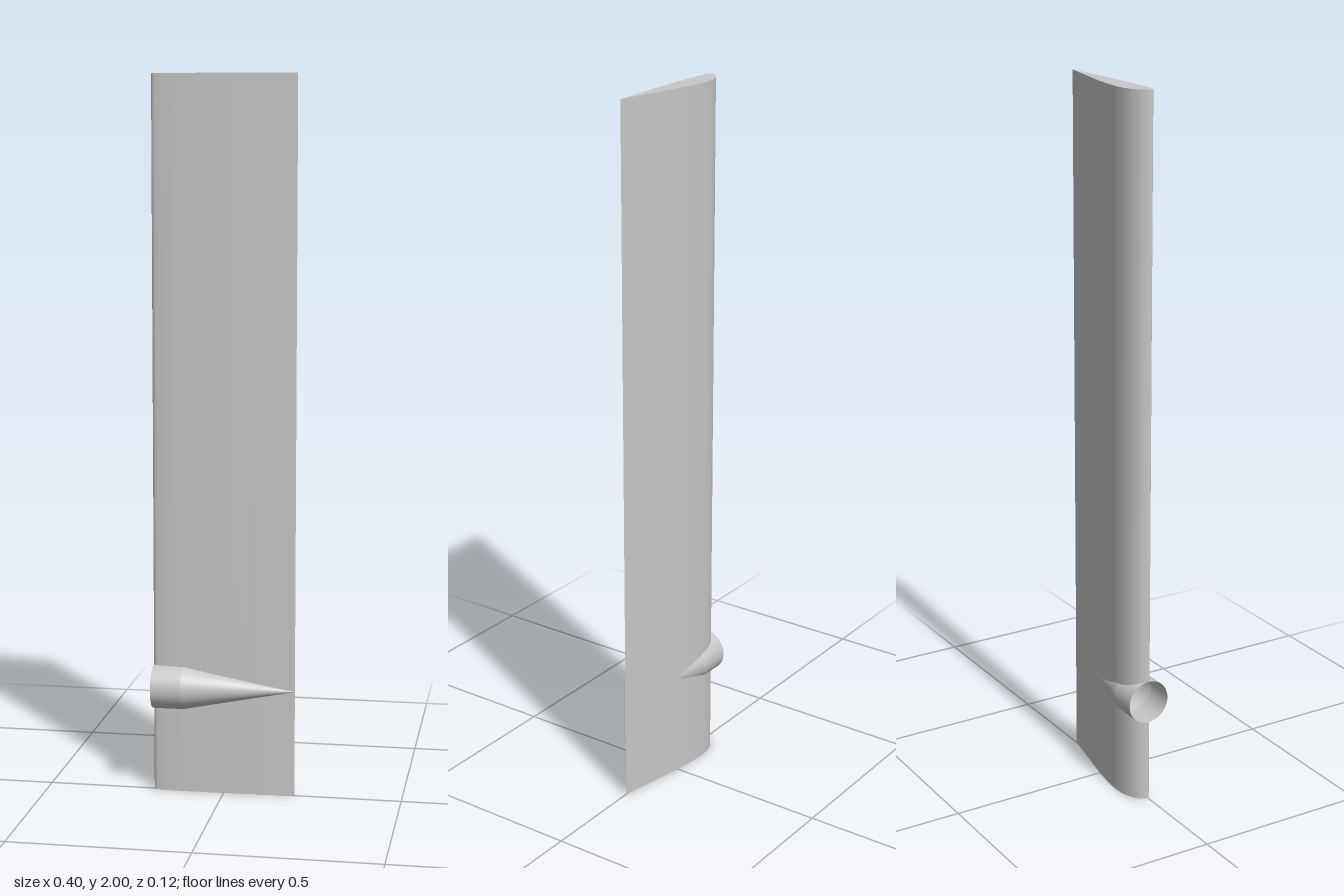
import * as THREE from 'three';

const HEIGHT = 2, POD_Y = 0.3, POD_R = 0.062, SHOULDER = -0.115, STEPS = 160;

// Pod radius along x: straight tube, then a cone running to the trailing edge
const podRadius = x => x < SHOULDER ? POD_R : POD_R * Math.max(0, 0.2 - x) / (0.2 - SHOULDER);

// Aerofoil outline (x, z): trailing edge, bulged back, nose, flat front, trailing edge
function aerofoil() {
  const pts = [
    [0.2, 0], [0.15, -0.01], [0.1, -0.02], [0.05, -0.0295], [0, -0.039], [-0.06, -0.047],
    [-0.11, -0.05], [-0.14, -0.047], [-0.165, -0.039], [-0.185, -0.026], [-0.196, -0.012],
    [-0.2, 0], [-0.194, 0.006], [-0.18, 0.009], [-0.14, 0.0115], [-0.1, 0.012],
    [0, 0.01], [0.1, 0.006], [0.2, 0],
  ].map(([x, z]) => new THREE.Vector3(x, 0, z));
  return new THREE.CatmullRomCurve3(pts, false, 'centripetal').getPoints(STEPS);
}

// Wall following the outline between two heights given per outline point
function wall(outline, bottom, top) {
  const pos = [], index = [];
  outline.forEach((p, i) => {
    pos.push(p.x, bottom(p), p.z, p.x, top(p), p.z);
    if (i === 0) return;
    const a = 2 * (i - 1);
    index.push(a, a + 1, a + 2, a + 1, a + 3, a + 2);
  });
  const g = new THREE.BufferGeometry();
  g.setAttribute('position', new THREE.Float32BufferAttribute(pos, 3));
  g.setIndex(index);
  g.computeVertexNormals();
  return g;
}

export function createModel() {
  const model = new THREE.Group();
  model.name = 'bladeWithPod';
  const grey = new THREE.MeshStandardMaterial({ color: 0xc8c8c8, side: THREE.DoubleSide });
  grey.name = 'light grey';

  const add = (name, geometry) => {
    const mesh = new THREE.Mesh(geometry, grey);
    mesh.name = name;
    model.add(mesh);
    return mesh;
  };

  // Blade skin, left open where the hollow pod passes through it
  const outline = aerofoil();
  const gap = p => Math.sqrt(Math.max(0, podRadius(p.x) ** 2 - p.z ** 2));
  add('lowerBlade', wall(outline, () => 0, p => POD_Y - gap(p)));
  add('upperBlade', wall(outline, p => POD_Y + gap(p), () => HEIGHT));

  // Closed tip; shape y is -z so that the face points up
  const flat = outline.slice(0, -1).map(p => new THREE.Vector2(p.x, -p.z));
  const tip = new THREE.ShapeGeometry(new THREE.Shape(flat));
  tip.rotateX(-Math.PI / 2);
  add('tipCap', tip).position.y = HEIGHT;

  // Thin rim round the open root
  const rimShape = new THREE.Shape(flat);
  rimShape.holes.push(new THREE.Path(flat.map(p =>
    new THREE.Vector2(-0.05 + (p.x + 0.05) * 0.94, 0.018 + (p.y - 0.018) * 0.84))));
  const rim = new THREE.ShapeGeometry(rimShape);
  rim.rotateX(-Math.PI / 2);
  add('rootRim', rim);

  // Hollow pod, open at the nose
  const profile = [-0.2, SHOULDER - 0.003, SHOULDER + 0.003, 0, 0.1, 0.2]
    .map(x => new THREE.Vector2(podRadius(x), x));
  const pod = new THREE.LatheGeometry(profile, 48);
  pod.rotateZ(-Math.PI / 2);
  add('pod', pod).position.y = POD_Y;

  return model;
}
